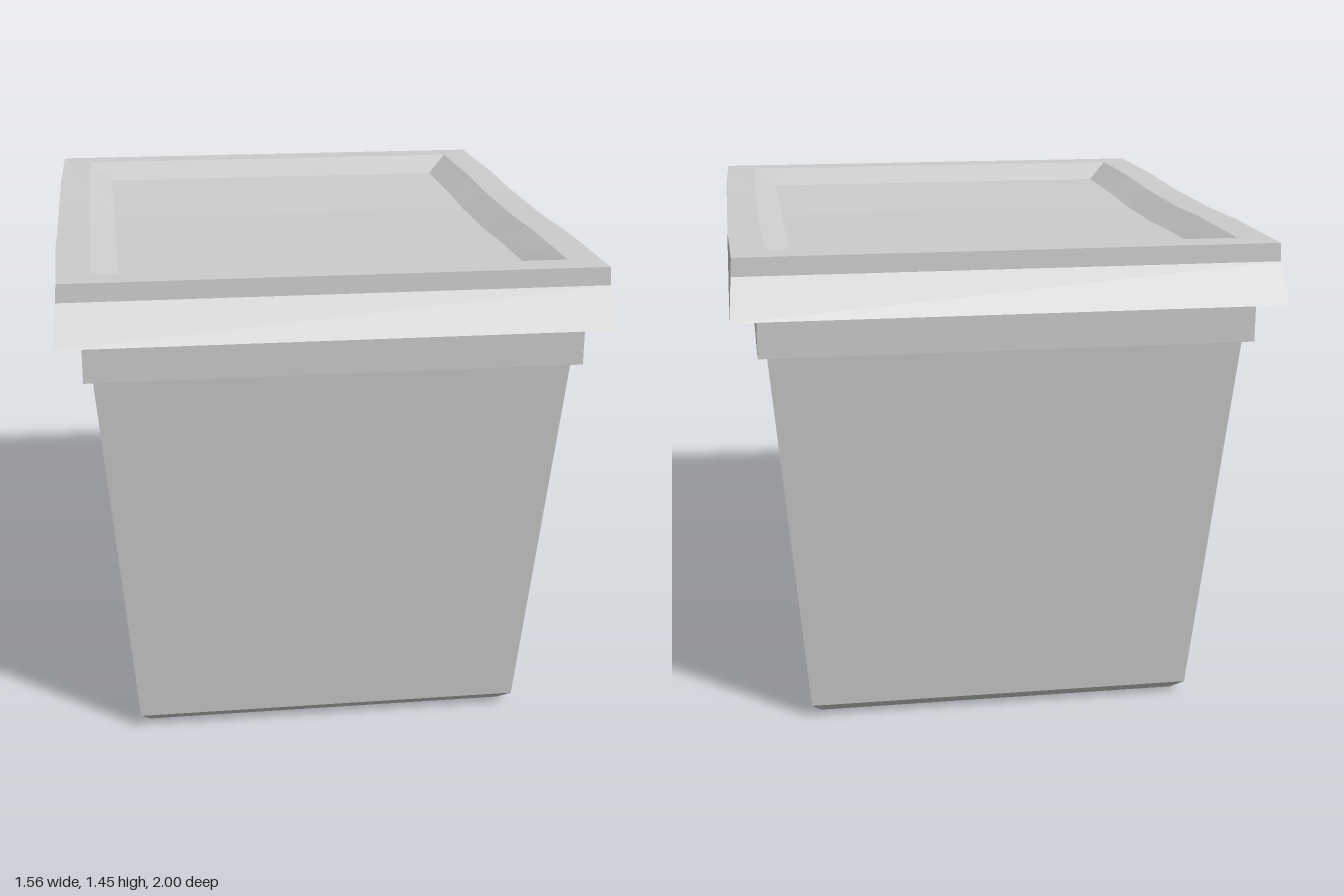
import * as THREE from 'three';

// Lengthwise stations along each long side, and how far the lid dips at each
const STATIONS = [1, 0.54, 0.22, -0.22, -0.54, -1];
const DIP = [0, 0.004, 0.013, 0.013, 0.004, 0];

// Rectangular loop; sag lowers the middle of the long sides, pinch narrows the corners
function ring({ x, z, y, sag = 0, pinch = 0 }) {
  const right = STATIONS.map((t, i) => [
    x - (Math.abs(t) === 1 ? pinch : 0), y - DIP[i] * sag, t * z,
  ]);
  const left = right.map(([px, py, pz]) => [-px, py, pz]).reverse();
  return [...right, ...left];
}

// Skin a stack of loops, optionally closing the first and last
function loft(levels, closeBottom, closeTop) {
  const rings = levels.map(ring);
  const pos = [];
  const quad = (a, b, c, d) => pos.push(...a, ...b, ...c, ...a, ...c, ...d);
  const n = rings[0].length;
  for (let k = 0; k + 1 < rings.length; k++) {
    const a = rings[k], b = rings[k + 1];
    for (let i = 0; i < n; i++) {
      const j = (i + 1) % n;
      quad(a[i], a[j], b[j], b[i]);
    }
  }
  const last = rings[rings.length - 1], first = rings[0];
  for (let i = 0; i + 1 < n / 2; i++) {
    if (closeTop) quad(last[i], last[i + 1], last[n - 2 - i], last[n - 1 - i]);
    if (closeBottom) quad(first[n - 1 - i], first[n - 2 - i], first[i + 1], first[i]);
  }
  const geometry = new THREE.BufferGeometry();
  geometry.setAttribute('position', new THREE.Float32BufferAttribute(pos, 3));
  geometry.computeVertexNormals();
  return geometry;
}

export function createModel() {
  const group = new THREE.Group();
  group.name = 'storageBin';
  const plastic = new THREE.MeshStandardMaterial({ color: 0xcccccc });
  plastic.name = 'light grey plastic';

  const add = (name, geometry) => {
    const mesh = new THREE.Mesh(geometry, plastic);
    mesh.name = name;
    group.add(mesh);
  };

  // Tapered tub with a bevelled base
  add('tub', loft([
    { x: 0.55, z: 0.75, y: 0 },
    { x: 0.58, z: 0.8, y: 0.04 },
    { x: 0.68, z: 0.895, y: 1.16 },
  ], true, false));

  // Straight collar under the lid
  add('collar', loft([
    { x: 0.68, z: 0.895, y: 1.16 },
    { x: 0.706, z: 0.927, y: 1.16 },
    { x: 0.706, z: 0.927, y: 1.28 },
  ], false, false));

  // Lid with flared ends, flat rim and a shallow sagging recess
  add('lid', loft([
    { x: 0.778, z: 1, y: 1.28 },
    { x: 0.776, z: 0.935, y: 1.393, pinch: 0.006 },
    { x: 0.775, z: 0.932, y: 1.445, sag: 1, pinch: 0.008 },
    { x: 0.677, z: 0.835, y: 1.445, sag: 1, pinch: 0.006 },
    { x: 0.595, z: 0.735, y: 1.395, sag: 1 },
  ], true, true));

  return group;
}
